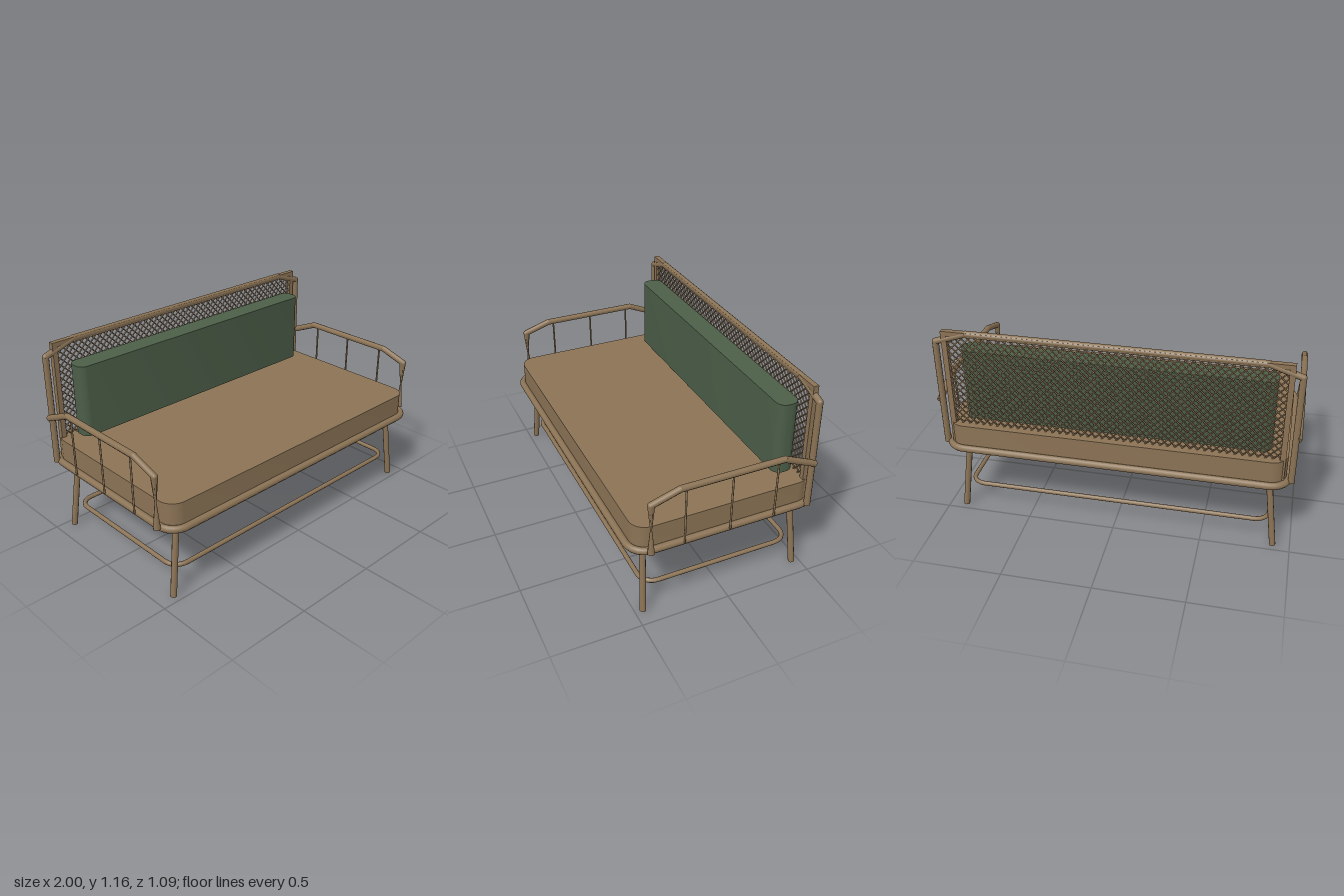
import * as THREE from 'three';
import { toCreasedNormals } from 'three/addons/utils/BufferGeometryUtils.js';

const V = (x, y, z) => new THREE.Vector3(x, y, z);
const UP = V(0, 1, 0);

export function createModel() {
  const root = new THREE.Group();
  root.name = 'benchSofa';
  const brown = new THREE.MeshStandardMaterial({ color: 0x8b7355 });
  brown.name = 'tan';
  const green = new THREE.MeshStandardMaterial({ color: 0x4c5e48 });
  green.name = 'mossGreen';

  const add = (parent, geo, mat, name) => {
    const m = new THREE.Mesh(geo, mat);
    m.name = name;
    parent.add(m);
    return m;
  };

  const group = (name) => {
    const g = new THREE.Group();
    g.name = name;
    root.add(g);
    return g;
  };

  // Straight rod between two points
  const rod = (parent, a, b, r, name, sides = 8) => {
    const geo = new THREE.CylinderGeometry(r, r, a.distanceTo(b), sides);
    const m = add(parent, geo, brown, name);
    m.position.copy(a).lerp(b, 0.5);
    m.quaternion.setFromUnitVectors(UP, b.clone().sub(a).normalize());
    return m;
  };

  // Bent bar: rods with ball joints at the corners
  const bar = (parent, pts, r, name) => {
    for (let i = 1; i < pts.length; i++) {
      rod(parent, pts[i - 1], pts[i], r, name, 10);
      if (i < pts.length - 1) {
        add(parent, new THREE.SphereGeometry(r, 10, 8), brown, name + 'Joint').position.copy(pts[i]);
      }
    }
  };

  const roundRect = (w, d, r) => {
    const s = new THREE.Shape();
    s.moveTo(-w + r, -d);
    s.lineTo(w - r, -d);
    s.absarc(w - r, -d + r, r, -Math.PI / 2, 0);
    s.lineTo(w, d - r);
    s.absarc(w - r, d - r, r, 0, Math.PI / 2);
    s.lineTo(-w + r, d);
    s.absarc(-w + r, d - r, r, Math.PI / 2, Math.PI);
    s.lineTo(-w, -d + r);
    s.absarc(-w + r, -d + r, r, Math.PI, Math.PI * 1.5);
    return s;
  };

  // Rounded slab standing on height y
  const slab = (w, d, r, y, h, z, mat, name) => {
    const geo = new THREE.ExtrudeGeometry(roundRect(w, d, r), { depth: h, bevelEnabled: false, curveSegments: 8 });
    geo.rotateX(-Math.PI / 2);
    add(root, toCreasedNormals(geo, 0.6), mat, name).position.set(0, y, z);
  };

  // Closed rounded-rectangle tube lying flat
  const ring = (w, d, corner, r, y, name) => {
    const pts = roundRect(w, d, corner).getSpacedPoints(160).slice(0, -1).map((p) => V(p.x, y, p.y));
    const curve = new THREE.CatmullRomCurve3(pts, true);
    add(root, new THREE.TubeGeometry(curve, 200, r, 10, true), brown, name);
  };

  // Seat and cushions
  slab(0.94, 0.51, 0.09, 0.44, 0.143, 0, brown, 'seatCushion');
  slab(0.85, 0.06, 0.05, 0.605, 0.415, -0.385, green, 'backCushion');
  ring(0.953, 0.525, 0.1, 0.02, 0.445, 'seatFrame');
  ring(0.87, 0.435, 0.08, 0.013, 0.147, 'legStretcher');

  // Splayed legs with threaded collars
  const legs = group('legs');
  for (const sx of [-1, 1]) for (const sz of [-1, 1]) {
    const top = V(sx * 0.85, 0.44, sz * 0.433);
    const foot = V(sx * 0.905, 0, sz * 0.456);
    rod(legs, top, foot, 0.0175, 'leg', 10);
    for (const y of [0.4, 0.411, 0.422]) {
      const c = add(legs, new THREE.CylinderGeometry(0.021, 0.021, 0.005, 12), brown, 'legCollar');
      c.position.copy(top).lerp(foot, (0.44 - y) / 0.44);
    }
  }

  // Arms: bent rail, waisted front post, three spindles
  const waist = [[0.02, 0], [0.005, 0.15], [0.02, 0.3]].map(([x, y]) => new THREE.Vector2(x, y));
  for (const s of [-1, 1]) {
    const arm = group(s > 0 ? 'leftArm' : 'rightArm');
    const x = s * 0.979;
    bar(arm, [V(x, 0.748, 0.445), V(x, 0.797, 0.29), V(x, 0.797, -0.29), V(x, 0.717, -0.475)], 0.018, 'armRail');
    add(arm, new THREE.SphereGeometry(0.018, 10, 8), brown, 'armRailEnd').position.set(x, 0.748, 0.445);
    add(arm, new THREE.LatheGeometry(waist, 8), brown, 'armPost').position.set(x, 0.45, 0.443);
    for (const z of [-0.257, 0, 0.257]) {
      rod(arm, V(s * 0.975, 0.45, z), V(x, 0.79, z), 0.0055, 'armSpindle');
    }
  }

  // Back: outer bent hoop and inner square frame
  const back = group('backFrame');
  const zb = -0.466;
  bar(back, [V(-0.966, 0.445, zb), V(-0.966, 1.078, zb), V(-0.79, 1.137, zb),
    V(0.79, 1.137, zb), V(0.966, 1.078, zb), V(0.966, 0.445, zb)], 0.018, 'backHoop');
  for (const s of [-1, 1]) {
    add(back, new THREE.BoxGeometry(0.03, 0.7, 0.03), brown, 'backUpright').position.set(s * 0.912, 0.797, zb);
  }
  add(back, new THREE.BoxGeometry(1.85, 0.026, 0.03), brown, 'backTopRail').position.set(0, 1.134, zb);

  // Diagonal woven lattice, strands clipped to the frame opening
  const lattice = group('backLattice');
  const X = 0.9, Y0 = 0.57, Y1 = 1.125, step = 0.04;
  for (const s of [-1, 1]) {
    for (let c = -X - (Y1 - Y0) + step / 2; c < X; c += step) {
      const x0 = Math.max(-X, c);
      const x1 = Math.min(X, c + Y1 - Y0);
      if (x1 - x0 < 0.01) continue;
      const z = zb + s * 0.003;
      rod(lattice, V(s * x0, Y0 + x0 - c, z), V(s * x1, Y0 + x1 - c, z), 0.004, 'latticeStrand', 6);
    }
  }

  return root;
}
